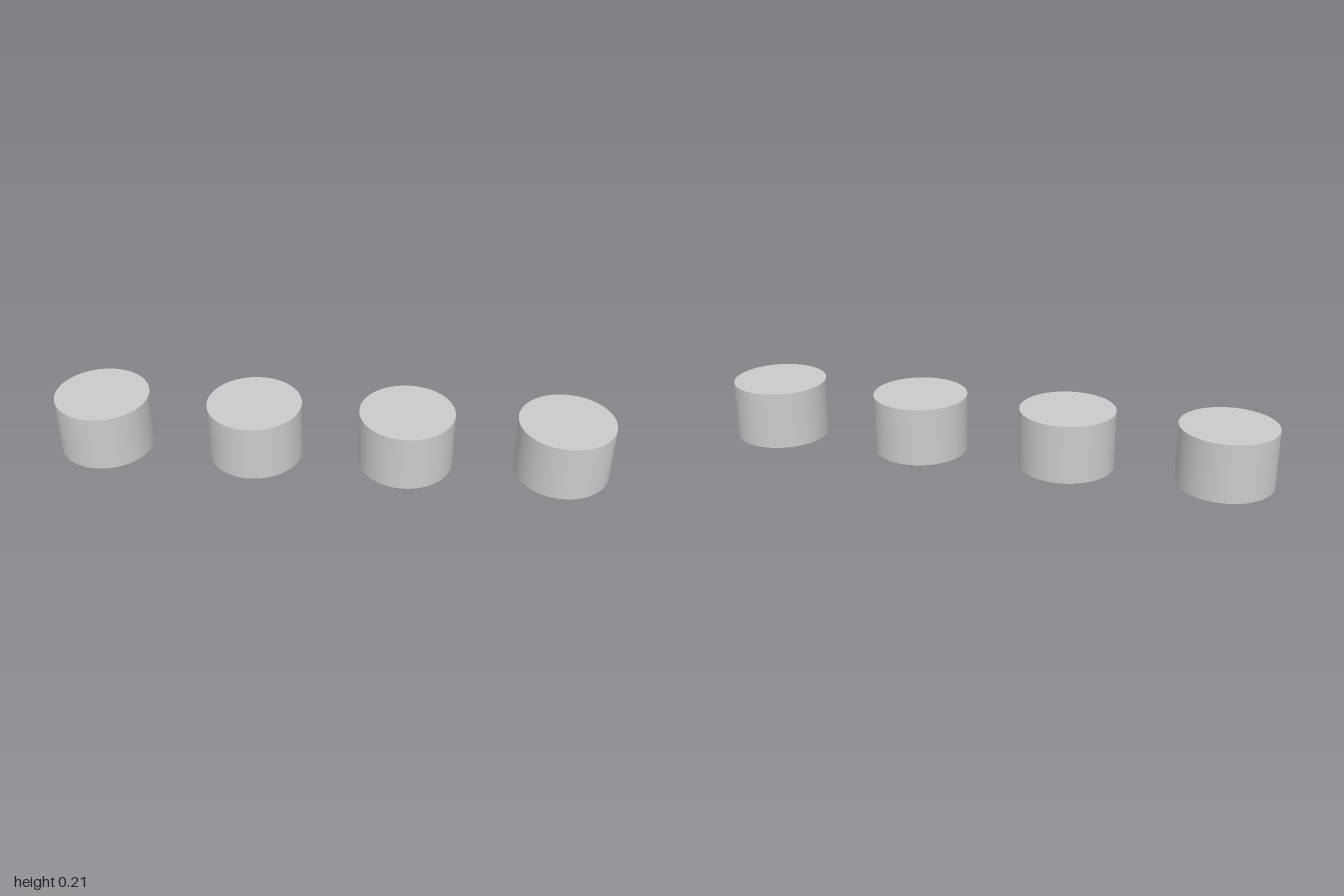
import * as THREE from 'three';

export function createModel() {
  const model = new THREE.Group();
  const material = new THREE.MeshStandardMaterial({ color: 0xcccccc });

  const radius = 0.17;
  const height = 0.21;
  const puck = new THREE.CylinderGeometry(radius, radius, height, 64);
  puck.translate(0, height / 2, 0); // rest on the ground

  // Four identical round pucks in a row along x
  [-0.83, -0.274, 0.272, 0.83].forEach((x, i) => {
    const mesh = new THREE.Mesh(puck, material);
    mesh.name = `puck${i + 1}`;
    mesh.position.x = x;
    model.add(mesh);
  });

  return model;
}
